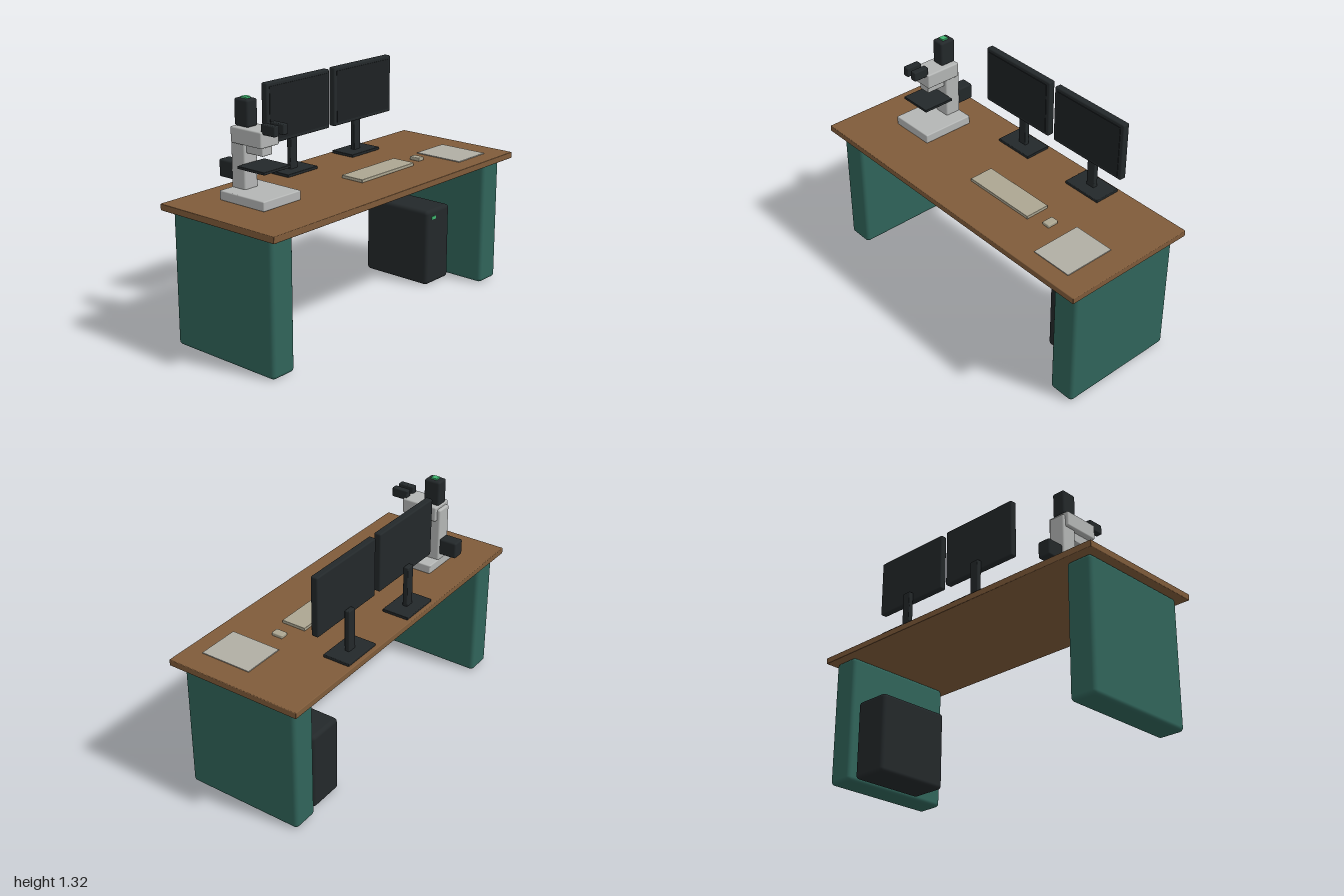
import * as THREE from 'three';
import { RoundedBoxGeometry } from 'three/addons/geometries/RoundedBoxGeometry.js';

const mat = (color) => new THREE.MeshStandardMaterial({ color });
const wood = mat(0x7f5b3a), green = mat(0x30645a), black = mat(0x23282a), screenBlack = mat(0x1d2123);
const grey = mat(0xb4b6b5), beige = mat(0xaca691), paper = mat(0xb0aea4), led = mat(0x3fb56f);

// Box given by its extents on each axis, with optional rounded edges
function block(parent, name, material, [x0, x1], [y0, y1], [z0, z1], radius = 0) {
  const size = [x1 - x0, y1 - y0, z1 - z0];
  const geometry = radius ? new RoundedBoxGeometry(...size, 3, radius) : new THREE.BoxGeometry(...size);
  const mesh = new THREE.Mesh(geometry, material);
  mesh.name = name;
  mesh.position.set((x0 + x1) / 2, (y0 + y1) / 2, (z0 + z1) / 2);
  parent.add(mesh);
  return mesh;
}

function group(parent, name, x = 0) {
  const g = new THREE.Group();
  g.name = name;
  g.position.x = x;
  parent.add(g);
  return g;
}

const TOP = 0.78;

function addDesk(model) {
  const desk = group(model, 'desk');
  block(desk, 'deskTop', wood, [-1, 1], [0.744, TOP], [-0.4, 0.4], 0.004);
  for (const [name, x] of [['rightPedestal', -0.88], ['leftPedestal', 0.88]])
    block(desk, name, green, [x - 0.078, x + 0.078], [0.003, 0.744], [-0.355, 0.34], 0.023);
}

function addComputer(model) {
  const tower = group(model, 'computerTower');
  block(tower, 'towerCase', black, [0.557, 0.775], [0.003, 0.46], [-0.33, 0.125], 0.022);
  block(tower, 'powerLight', led, [0.6, 0.635], [0.404, 0.422], [0.12, 0.13]);
}

function addMonitor(model, name, x) {
  const m = group(model, name, x);
  block(m, 'monitorBase', black, [-0.12, 0.12], [TOP, 0.797], [-0.38, -0.222], 0.004);
  block(m, 'monitorPost', black, [-0.027, 0.027], [0.79, 1.032], [-0.317, -0.288], 0.005);
  block(m, 'monitorBody', black, [-0.249, 0.249], [0.985, 1.32], [-0.288, -0.247], 0.008);
  block(m, 'screen', screenBlack, [-0.228, 0.228], [1.005, 1.3], [-0.25, -0.244]);
}

function addMicroscope(model) {
  const s = group(model, 'microscope', -0.624);
  block(s, 'microscopeBase', grey, [-0.136, 0.136], [TOP, 0.832], [-0.215, 0.1], 0.006);
  block(s, 'column', grey, [-0.048, 0.048], [0.825, 1.142], [-0.215, -0.119], 0.01);
  block(s, 'arm', grey, [-0.067, 0.067], [1.074, 1.16], [-0.197, 0.02], 0.008);
  block(s, 'objectiveHousing', grey, [-0.036, 0.036], [1.025, 1.076], [-0.115, 0], 0.005);
  block(s, 'stage', black, [-0.098, 0.098], [0.955, 0.97], [-0.12, 0.07], 0.003);
  block(s, 'lampHousing', black, [-0.038, 0.038], [0.865, 0.96], [-0.318, -0.212], 0.01);
  // Pair of eyepieces
  for (const side of [-1, 1])
    block(s, 'eyepiece', black, [side * 0.032 - 0.019, side * 0.032 + 0.019], [1.145, 1.2], [0.004, 0.1], 0.006);
  block(s, 'cameraHead', black, [-0.038, 0.038], [1.158, 1.302], [-0.197, -0.1], 0.012);
  block(s, 'cameraLight', led, [-0.018, 0.018], [1.298, 1.311], [-0.166, -0.13]);
}

function addDeskItems(model) {
  const items = group(model, 'deskItems');
  block(items, 'keyboard', beige, [-0.054, 0.396], [TOP, 0.798], [0, 0.146], 0.003);
  block(items, 'mouse', beige, [0.479, 0.526], [TOP, 0.8], [0.05, 0.117], 0.005);
  block(items, 'paper', paper, [0.615, 0.86], [TOP, 0.785], [0, 0.3]);
}

export function createModel() {
  const model = new THREE.Group();
  model.name = 'microscopeWorkstation';
  addDesk(model);
  addComputer(model);
  addMonitor(model, 'rightMonitor', -0.122);
  addMonitor(model, 'leftMonitor', 0.417);
  addMicroscope(model);
  addDeskItems(model);
  return model;
}
